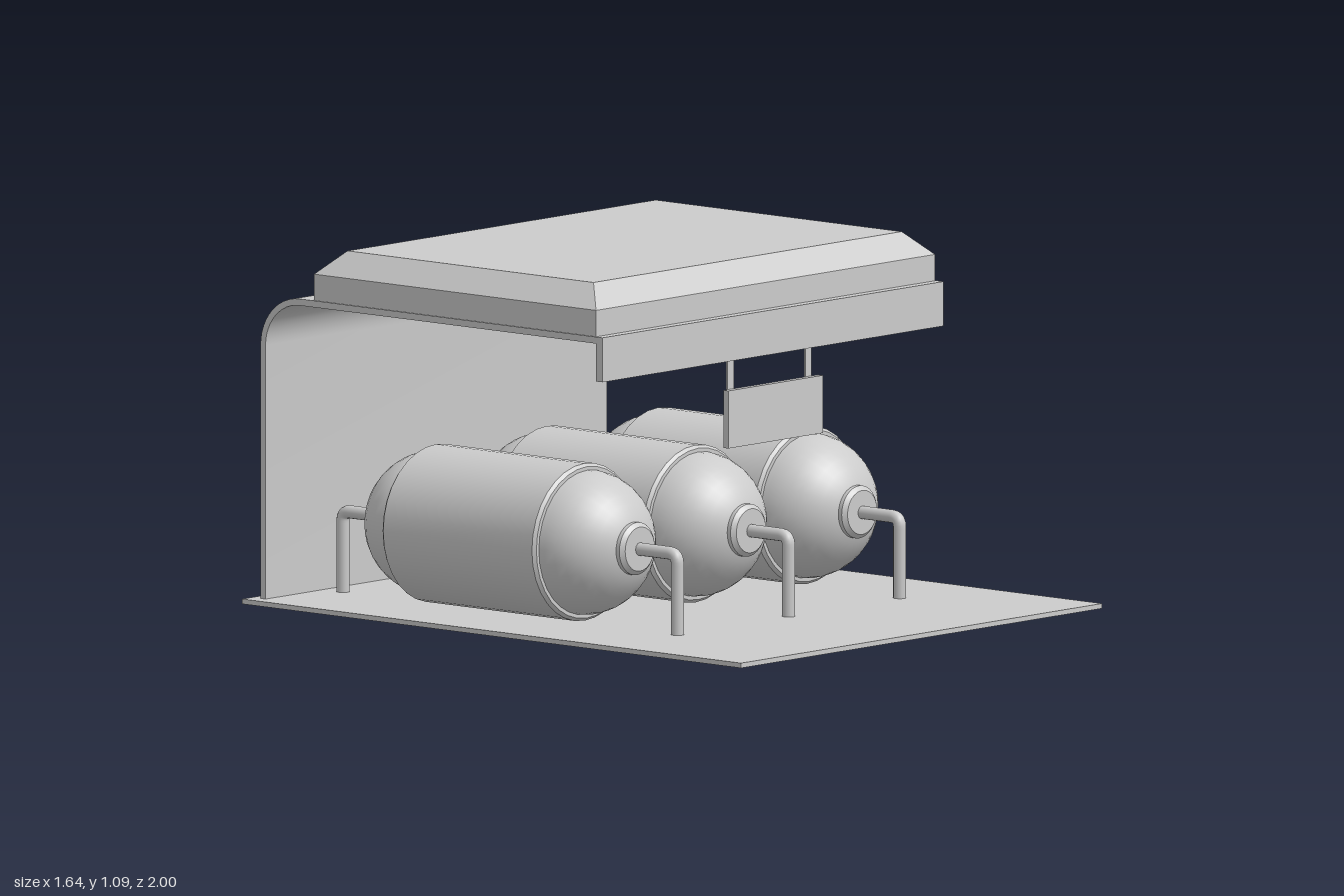
import * as THREE from 'three';
import { toCreasedNormals } from 'three/addons/utils/BufferGeometryUtils.js';

const material = new THREE.MeshStandardMaterial({ color: 0xcccccc });

function mesh(name, geometry, parent) {
  const m = new THREE.Mesh(geometry, material);
  m.name = name;
  parent.add(m);
  return m;
}

// Box given by its minimum and maximum corners
function box(name, [x0, y0, z0], [x1, y1, z1], parent) {
  const m = mesh(name, new THREE.BoxGeometry(x1 - x0, y1 - y0, z1 - z0), parent);
  m.position.set((x0 + x1) / 2, (y0 + y1) / 2, (z0 + z1) / 2);
  return m;
}

// Bent sheet: back wall, rounded corner, roof and front lip
function shelterGeometry() {
  const width = 1.55, bottom = 0.015, top = 0.94, back = 0.965, t = 0.02, r = 0.155;
  const s = new THREE.Shape();
  s.moveTo(back, bottom);
  s.lineTo(back, top - r);
  s.absarc(back - r, top - r, r, 0, Math.PI / 2, false);
  s.lineTo(-0.405, top);
  s.lineTo(-0.405, 0.805);
  s.lineTo(-0.38, 0.805);
  s.lineTo(-0.38, top - t);
  s.lineTo(back - r, top - t);
  s.absarc(back - r, top - r, r - t, Math.PI / 2, 0, true);
  s.lineTo(back - t, bottom);
  s.closePath();
  const g = new THREE.ExtrudeGeometry(s, { depth: width, bevelEnabled: false, curveSegments: 6 });
  g.translate(0, 0, -width / 2);
  g.rotateY(Math.PI / 2);
  return toCreasedNormals(g, 0.5);
}

// Roof block with straight sides and a bevelled top
function roofGeometry() {
  const g = new THREE.BoxGeometry(1.54, 2, 1.13, 1, 2, 1);
  const p = g.attributes.position;
  for (let i = 0; i < p.count; i++) {
    const level = Math.round(p.getY(i)) + 1;
    p.setY(i, [0.94, 1.02, 1.09][level]);
    if (level === 2) {
      p.setX(i, Math.sign(p.getX(i)) * 0.70);
      p.setZ(i, Math.sign(p.getZ(i)) * 0.493);
    }
  }
  const flat = g.toNonIndexed();
  flat.computeVertexNormals();
  return flat;
}

// Lathe around the z axis, profile as [radius, z]
function latheZ(profile) {
  const g = new THREE.LatheGeometry(profile.map(([r, z]) => new THREE.Vector2(r, z)), 32);
  g.rotateX(Math.PI / 2);
  return toCreasedNormals(g, 0.5);
}

// Pipe leaving the tank end and bending down to the base
function pipeGeometry() {
  const reach = 0.67, drop = -0.245, bend = 0.03;
  const path = new THREE.CurvePath();
  const v = (y, z) => new THREE.Vector3(0, y, z);
  path.add(new THREE.LineCurve3(v(0, 0.5), v(0, reach - bend)));
  path.add(new THREE.QuadraticBezierCurve3(v(0, reach - bend), v(0, reach), v(-bend, reach)));
  path.add(new THREE.LineCurve3(v(-bend, reach), v(drop, reach)));
  return new THREE.TubeGeometry(path, 48, 0.02, 12, false);
}

function createTank() {
  const tank = new THREE.Group();
  tank.name = 'tank';
  mesh('tankBody', latheZ([
    [0.215, -0.308], [0.23, -0.308], [0.239, -0.298],
    [0.239, 0.298], [0.23, 0.308], [0.215, 0.308],
  ]), tank);

  // Rounded end, end cap and pipe, repeated at both ends
  const dome = [];
  for (let i = 0; i <= 10; i++) {
    const a = (i / 10) * Math.PI / 2;
    dome.push([0.22 * Math.cos(a), 0.295 + 0.215 * Math.sin(a)]);
  }
  const domeGeometry = latheZ(dome);
  const capGeometry = latheZ([[0.08, 0.47], [0.08, 0.508], [0.067, 0.52], [0, 0.52]]);
  const pipe = pipeGeometry();
  for (const [name, angle] of [['frontEnd', 0], ['backEnd', Math.PI]]) {
    const end = new THREE.Group();
    end.name = name;
    end.rotation.y = angle;
    mesh('dome', domeGeometry, end);
    mesh('endCap', capGeometry, end);
    mesh('pipe', pipe, end);
    tank.add(end);
  }
  return tank;
}

export function createModel() {
  const model = new THREE.Group();
  model.name = 'tankShelter';

  box('basePlate', [-0.82, 0, -1], [0.82, 0.015, 1], model);
  mesh('shelter', shelterGeometry(), model);
  mesh('roofBlock', roofGeometry(), model).position.z = -0.19;

  // Hanging sign
  box('signBoard', [-0.2, 0.54, 0.382], [0.23, 0.715, 0.402], model);
  for (const x of [-0.165, 0.188]) {
    box('signStrap', [x - 0.014, 0.63, 0.375], [x + 0.014, 0.87, 0.381], model);
  }

  // Row of three tanks
  const tank = createTank();
  for (const x of [-0.505, 0, 0.505]) {
    const t = tank.clone();
    t.position.set(x, 0.26, -0.203);
    model.add(t);
  }
  return model;
}
